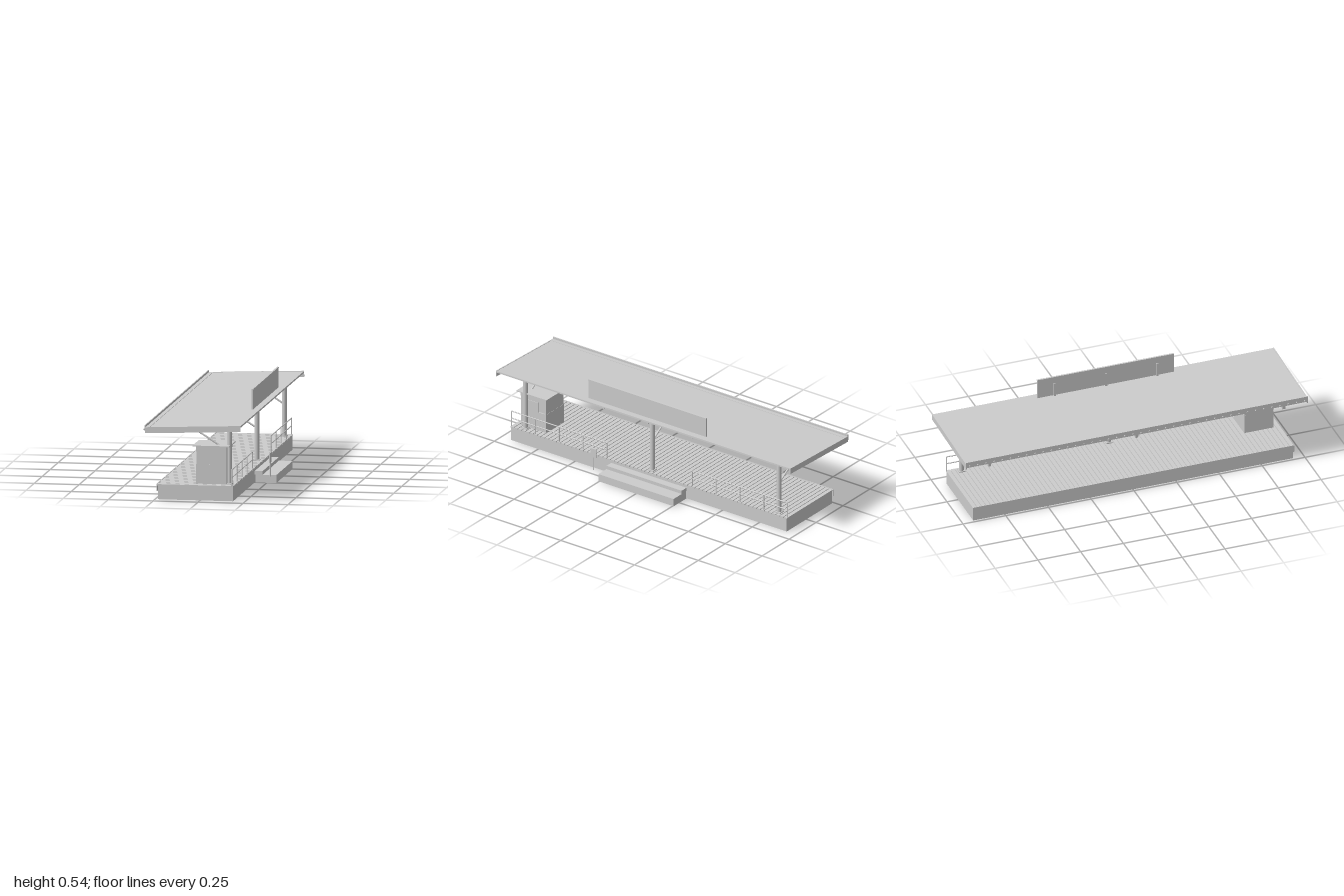
import * as THREE from 'three';

export function createModel() {
  const grey = new THREE.MeshStandardMaterial({ color: 0xcccccc });
  grey.name = 'light grey';
  const model = new THREE.Group();
  model.name = 'platformShelter';

  const add = (name, geometry, parent) => {
    const mesh = new THREE.Mesh(geometry, grey);
    mesh.name = name;
    parent.add(mesh);
    return mesh;
  };
  // Box given by its limits on each axis
  const box = (name, x0, x1, y0, y1, z0, z1, parent = model) => {
    const mesh = add(name, new THREE.BoxGeometry(x1 - x0, y1 - y0, z1 - z0), parent);
    mesh.position.set((x0 + x1) / 2, (y0 + y1) / 2, (z0 + z1) / 2);
    return mesh;
  };
  // Round bar between two points
  const bar = (name, a, b, r, sides = 8, parent = model) => {
    const from = new THREE.Vector3(...a), to = new THREE.Vector3(...b);
    const dir = to.clone().sub(from);
    const mesh = add(name, new THREE.CylinderGeometry(r, r, dir.length(), sides), parent);
    mesh.position.copy(from).add(to).multiplyScalar(0.5);
    mesh.quaternion.setFromUnitVectors(new THREE.Vector3(0, 1, 0), dir.normalize());
    return mesh;
  };

  // Platform base, planked deck and edge strip
  box('platformBase', -0.235, 0.183, 0, 0.077, -0.935, 0.935);
  const planks = 72, pitch = 1.88 / planks;
  for (let i = 0; i < planks; i++) {
    const z = -0.94 + i * pitch;
    box('deckPlank', -0.238, 0.184, 0.077, 0.084, z + 0.002, z + pitch - 0.002);
  }
  box('deckEdgeStrip', -0.243, -0.238, 0.045, 0.086, -0.94, 0.94);

  // Boarding steps
  box('lowerStep', 0.186, 0.303, 0, 0.044, -0.255, 0.255);
  box('upperStep', 0.183, 0.227, 0.044, 0.064, -0.255, 0.255);

  // Railings either side of the steps
  for (const s of [-1, 1]) {
    for (let i = 0; i < 5; i++) {
      const z = s * (0.29 + i * 0.1615);
      bar('railPost', [0.176, 0.08, z], [0.176, 0.175, z], 0.003);
    }
    for (const y of [0.131, 0.174]) bar('handrail', [0.176, y, s * 0.288], [0.176, y, s * 0.938], 0.003);
  }

  // Card reader on a slim post
  bar('readerPost', [0.278, 0.044, 0.305], [0.278, 0.17, 0.305], 0.003);
  box('readerBox', 0.275, 0.281, 0.122, 0.175, 0.288, 0.325);

  // Columns with base plates and diagonal braces
  for (const z of [-0.86, 0, 0.86]) {
    bar('column', [0.15, 0.084, z], [0.15, 0.402, z], 0.0135, 24);
    box('columnBasePlate', 0.132, 0.168, 0.084, 0.09, z - 0.018, z + 0.018);
    bar('columnBrace', [0.145, 0.266, z], [-0.03, 0.376, z], 0.005);
  }

  // Sloping roof; local y = 0 is the top of the end boards
  const roof = new THREE.Group();
  roof.name = 'roof';
  roof.position.set(-0.03, 0.4175, 0);
  roof.rotation.z = 0.0396;
  model.add(roof);
  box('roofSheet', -0.266, 0.265, -0.011, -0.002, -0.994, 0.994, roof);
  for (const s of [-1, 1]) {
    const end = box('roofEndBoard', -0.266, 0.265, -0.033, 0, -0.003, 0.003, roof);
    end.position.z = s * 0.997;
  }
  for (const x of [-0.17, -0.04, 0.115, 0.225]) box('purlin', x - 0.004, x + 0.004, -0.024, -0.011, -0.994, 0.994, roof);
  for (const z of [-0.86, 0, 0.86]) box('roofBeam', -0.266, 0.19, -0.043, -0.022, z - 0.008, z + 0.008, roof);
  box('gutterFloor', -0.266, -0.24, -0.002, 0, -0.994, 0.994, roof);

  // Upright lip along the low edge, with a row of small lamps
  box('roofLip', -0.299, -0.293, 0.385, 0.418, -1, 1);
  for (let i = 0; i < 42; i++) {
    const z = -0.98 + i * 1.96 / 41;
    bar('edgeLamp', [-0.305, 0.394, z], [-0.296, 0.394, z], 0.005);
  }

  // Sign board above the roof
  box('signPanel', 0.192, 0.198, 0.426, 0.536, -0.4, 0.4);
  box('signCap', 0.191, 0.201, 0.535, 0.541, -0.4, 0.4);
  for (const z of [-0.3, 0, 0.3]) {
    box('signPost', 0.183, 0.187, 0.42, 0.505, z - 0.006, z + 0.006);
    box('signFoot', 0.187, 0.196, 0.385, 0.5, z - 0.004, z + 0.004);
  }

  // Booth: solid walls, with a doorway and window facing the steps side
  const booth = new THREE.Group();
  booth.name = 'booth';
  model.add(booth);
  for (const [z0, z1] of [[0.73, 0.736], [0.894, 0.9]]) {
    box('boothLowerWall', -0.028, 0.14, 0.087, 0.196, z0, z1, booth);
    box('boothUpperWall', -0.026, 0.138, 0.196, 0.27, z0 + 0.001, z1 - 0.001, booth);
  }
  box('boothBackWall', -0.028, -0.022, 0.087, 0.27, 0.736, 0.894, booth);
  const wall = new THREE.Shape();
  wall.moveTo(0.73, 0.087).lineTo(0.9, 0.087).lineTo(0.9, 0.27).lineTo(0.73, 0.27).closePath();
  const hole = (z0, z1, y0, y1) => {
    const p = new THREE.Path();
    p.moveTo(z0, y0).lineTo(z0, y1).lineTo(z1, y1).lineTo(z1, y0).closePath();
    wall.holes.push(p);
  };
  hole(0.738, 0.78, 0.198, 0.258);
  const doorWall = add('boothDoorWall', new THREE.ExtrudeGeometry(wall, { depth: 0.006, bevelEnabled: false }), booth);
  doorWall.rotation.y = -Math.PI / 2;
  doorWall.position.x = 0.14;
  box('boothDoor', 0.139, 0.142, 0.09, 0.256, 0.786, 0.85, booth);
  box('boothTopBand', -0.03, 0.142, 0.268, 0.292, 0.728, 0.902, booth);
  box('boothRoof', -0.046, 0.158, 0.294, 0.3, 0.713, 0.917, booth);
  box('boothRoofNeck', -0.02, 0.13, 0.29, 0.296, 0.74, 0.89, booth);

  return model;
}
